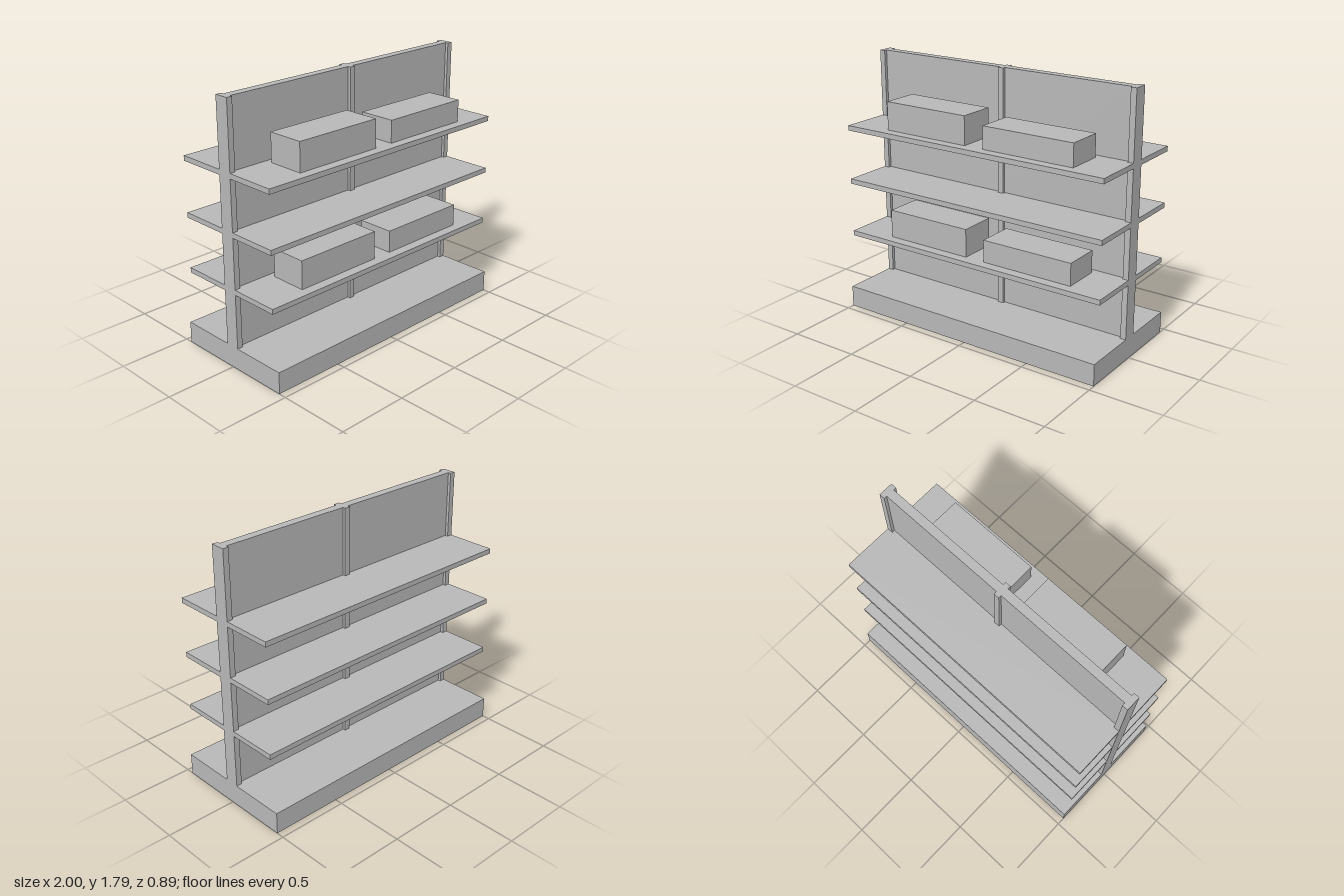
import * as THREE from 'three';

export function createModel() {
  const group = new THREE.Group();
  const grey = new THREE.MeshStandardMaterial({ color: 0xb8b8b8 });
  grey.name = 'grey';

  // Box from its minimum and maximum on each axis
  const box = (name, [x0, x1], [y0, y1], [z0, z1]) => {
    const mesh = new THREE.Mesh(new THREE.BoxGeometry(x1 - x0, y1 - y0, z1 - z0), grey);
    mesh.position.set((x0 + x1) / 2, (y0 + y1) / 2, (z0 + z1) / 2);
    mesh.name = name;
    group.add(mesh);
  };

  const full = [-1, 1], height = 1.795, baseTop = 0.15;

  // Plinth and central partition
  box('base', full, [0, baseTop], [-0.447, 0.447]);
  box('backPanel', [-0.96, 0.96], [baseTop, height], [-0.03, 0.03]);

  // Uprights, slightly deeper than the partition
  const posts = [['rightPost', -1], ['middlePost', 0], ['leftPost', 0.96]];
  for (const [name, x] of posts) box(name, [x, x + 0.04], [baseTop, height], [-0.051, 0.051]);

  // Three shelves on each side
  for (const y of [0.53, 0.915, 1.297]) {
    box('frontShelf', full, [y, y + 0.035], [0.03, 0.405]);
    box('backShelf', full, [y, y + 0.035], [-0.405, -0.03]);
  }

  // Goods on the front lower and upper shelves
  for (const y of [0.565, 1.332]) {
    box('tallCarton', [-0.7, -0.057], [y, y + 0.196], [0.076, 0.336]);
    box('lowCarton', [0.085, 0.75], [y, y + 0.154], [0.076, 0.336]);
  }
  return group;
}
